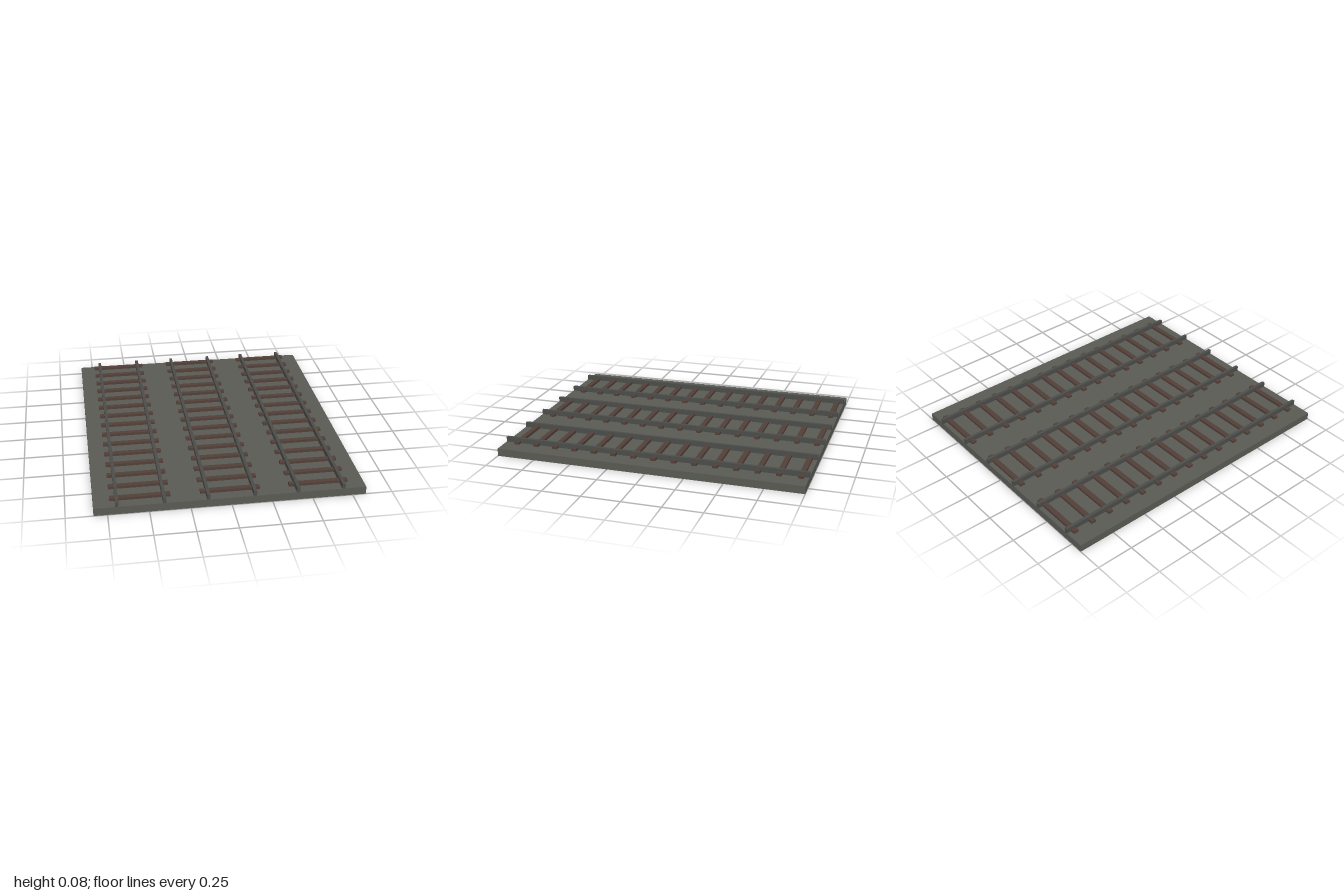
import * as THREE from 'three';

export function createModel() {
  const model = new THREE.Group();
  model.name = 'railwayTracks';

  const material = (name, color) => {
    const m = new THREE.MeshStandardMaterial({ color });
    m.name = name;
    return m;
  };
  const gravel = material('gravelGrey', 0x5a5a54);
  const steel = material('railGrey', 0x4b4d4a);
  const wood = material('sleeperBrown', 0x523f38);

  // Box standing on height y
  const box = (parent, name, mat, [w, h, d], x, y, z) => {
    const mesh = new THREE.Mesh(new THREE.BoxGeometry(w, h, d), mat);
    mesh.name = name;
    mesh.position.set(x, y + h / 2, z);
    parent.add(mesh);
  };

  // Ground slab
  const bedTop = 0.05;
  box(model, 'trackBed', gravel, [1.667, bedTop, 2], 0, 0, 0);

  // Three parallel tracks
  for (const [i, x] of [-0.55, 0, 0.55].entries()) {
    const track = new THREE.Group();
    track.name = `track${i + 1}`;
    track.position.x = x;
    model.add(track);

    // Sleepers
    for (let s = 0; s < 15; s++) {
      box(track, 'sleeper', wood, [0.367, 0.017, 0.033], 0, bedTop, -0.953 + s * 0.1333);
    }
    // Pair of rails
    for (const side of [-1, 1]) {
      box(track, 'rail', steel, [0.02, 0.033, 2], side * 0.142, bedTop, 0);
    }
  }
  return model;
}
